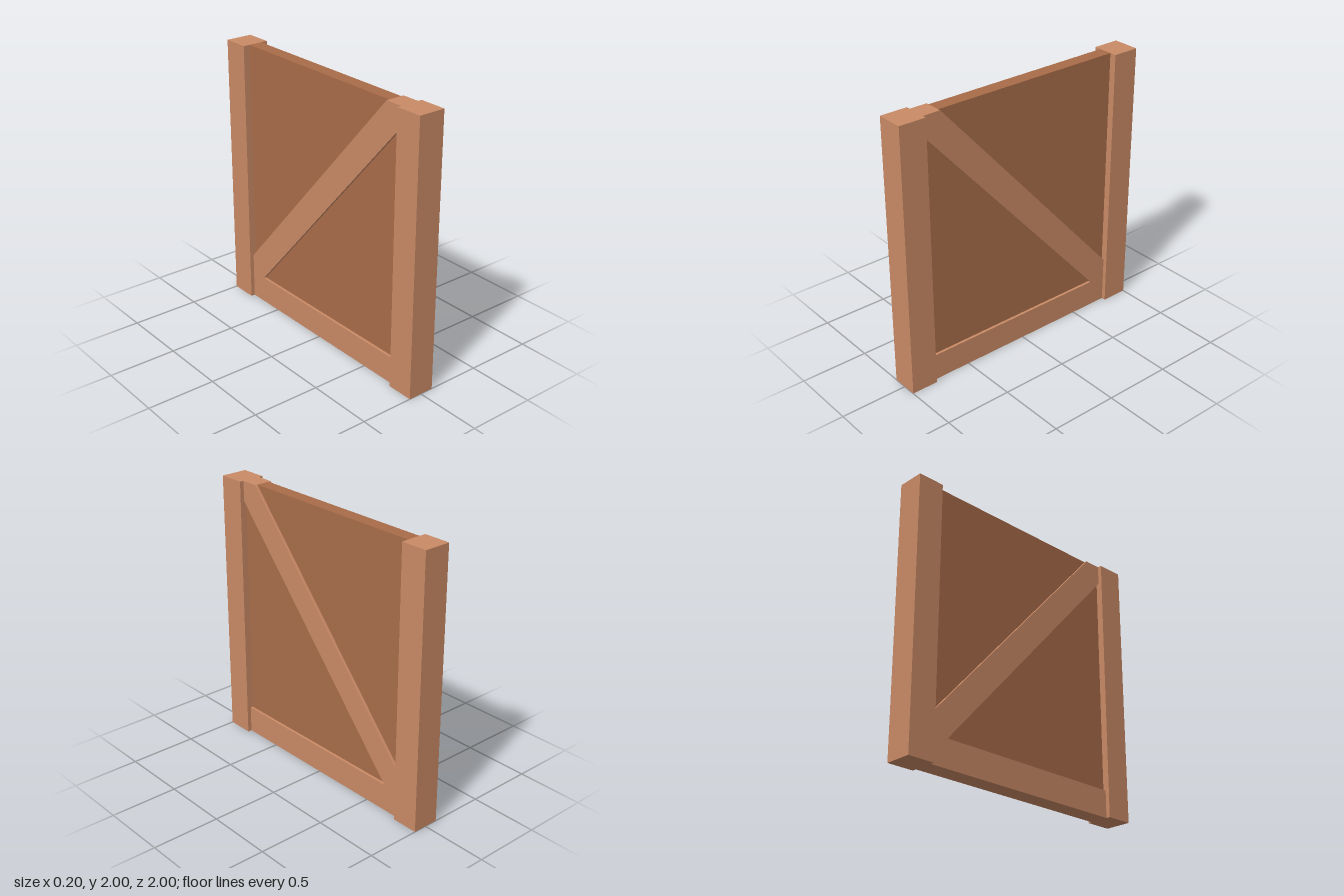
import * as THREE from 'three';

const frameWood = new THREE.MeshStandardMaterial({ color: 0xc98a65 });
const panelWood = new THREE.MeshStandardMaterial({ color: 0xa86c49 });

// Slab with a [z, y] outline, centred on x = 0
function slab(name, outline, thickness, material) {
  const shape = new THREE.Shape(outline.map(([z, y]) => new THREE.Vector2(z, y)));
  const geometry = new THREE.ExtrudeGeometry(shape, { depth: thickness, bevelEnabled: false });
  geometry.translate(0, 0, -thickness / 2).rotateY(-Math.PI / 2);
  const mesh = new THREE.Mesh(geometry, material);
  mesh.name = name;
  return mesh;
}

function beam(name, width, height, length, y, z) {
  const mesh = new THREE.Mesh(new THREE.BoxGeometry(width, height, length), frameWood);
  mesh.name = name;
  mesh.position.set(0, y, z);
  return mesh;
}

export function createModel() {
  const model = new THREE.Group();
  model.name = 'bracedWallPanel';

  // Upright posts at both ends
  model.add(beam('frontPost', 0.2, 2, 0.2, 1, 0.9));
  model.add(beam('backPost', 0.2, 2, 0.2, 1, -0.9));

  // Rail along the bottom
  model.add(beam('bottomRail', 0.14, 0.2, 1.6, 0.1, 0));

  // Diagonal brace, clipped by the posts, the rail and the top edge
  model.add(slab('diagonalBrace', [
    [0.8, 2], [0.67, 2], [-0.8, 0.345], [-0.8, 0.2], [-0.67, 0.2], [0.8, 1.855],
  ], 0.14, frameWood));

  // Recessed boards on either side of the brace
  model.add(slab('upperPanel', [[0.67, 2], [-0.8, 2], [-0.8, 0.345]], 0.1, panelWood));
  model.add(slab('lowerPanel', [[0.8, 1.855], [-0.67, 0.2], [0.8, 0.2]], 0.1, panelWood));

  return model;
}
